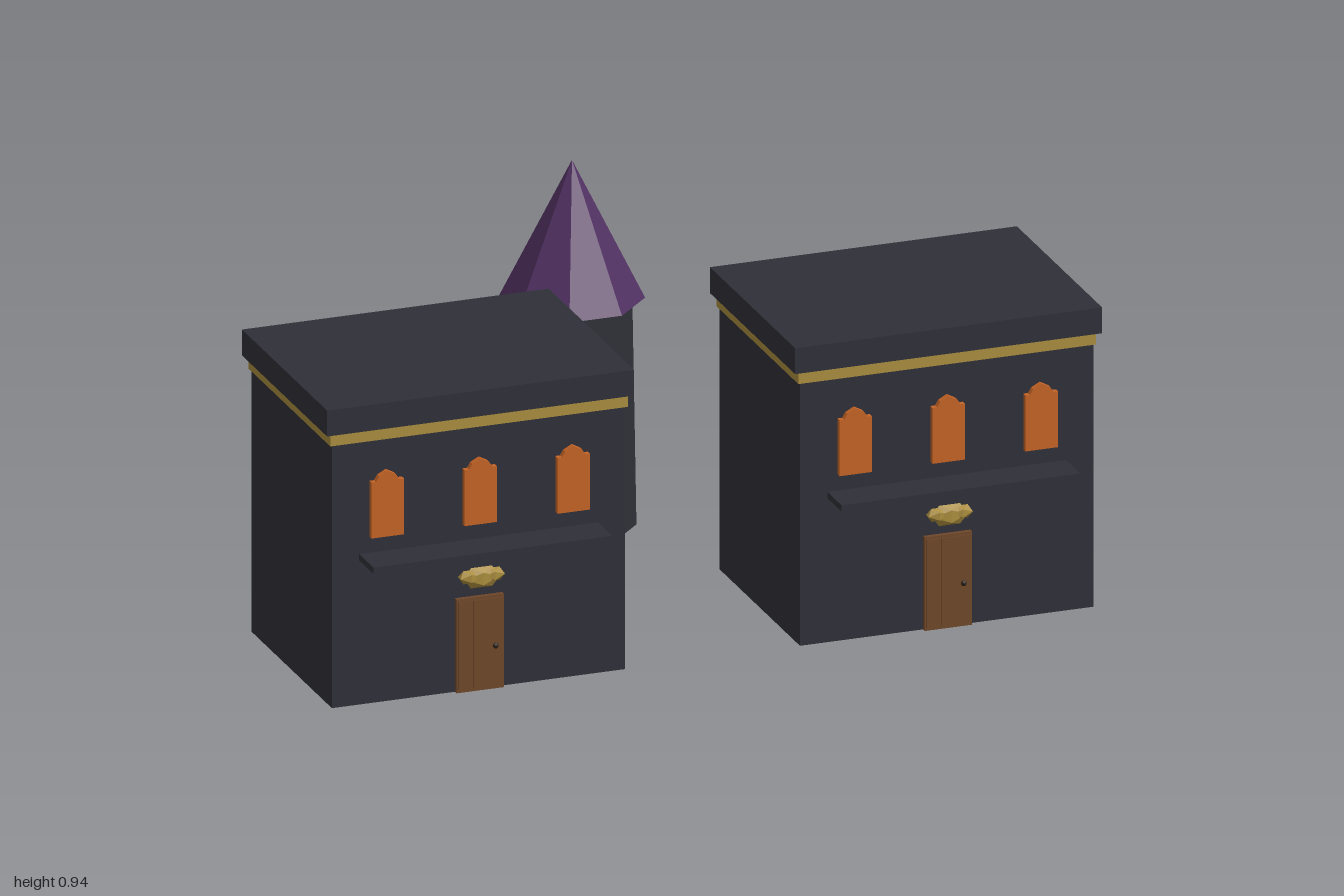
import * as THREE from 'three';

const mat = (name, color) => {
  const m = new THREE.MeshStandardMaterial({ color });
  m.name = name;
  m.flatShading = true;
  return m;
};

export function createModel() {
  const slate = mat('dark slate', 0x2f2f38);
  const gold = mat('old gold', 0xaa8d3e);
  const orange = mat('glowing orange', 0xc46324);
  const wood = mat('door wood', 0x6f4729);
  const iron = mat('dark iron', 0x2a2018);
  const purple = mat('purple roof', 0x523163);

  const add = (parent, name, geometry, material, x = 0, y = 0, z = 0) => {
    const mesh = new THREE.Mesh(geometry, material);
    mesh.name = name;
    mesh.position.set(x, y, z);
    parent.add(mesh);
    return mesh;
  };
  // Box given by its width, bottom/top and back/front
  const box = (parent, name, material, x, w, y0, y1, z0, z1) =>
    add(parent, name, new THREE.BoxGeometry(w, y1 - y0, z1 - z0), material, x, (y0 + y1) / 2, (z0 + z1) / 2);

  // Window with small shoulders and a pointed arch, base at y = 0, back at z = 0
  const windowGeometry = (w, h, depth) => {
    const s = new THREE.Shape();
    const half = [[0.5, 0], [0.5, 0.85], [0.36, 0.85], [0.26, 0.93]];
    s.moveTo(-0.5 * w, 0);
    half.forEach(([x, y]) => s.lineTo(x * w, y * h));
    s.lineTo(0, h);
    half.slice(1).reverse().forEach(([x, y]) => s.lineTo(-x * w, y * h));
    s.closePath();
    return new THREE.ExtrudeGeometry(s, { depth, bevelEnabled: false });
  };

  // Plank door with a knob, back at z = 0
  const makeDoor = (w, h, depth) => {
    const door = new THREE.Group();
    door.name = 'door';
    box(door, 'doorSlab', wood, 0, w, 0, h, 0, depth * 0.85);
    for (const i of [-1, 0, 1]) {
      box(door, 'doorPlank', wood, i * w * 0.31, w * 0.3, h * 0.03, h * 0.97, depth * 0.8, depth);
    }
    add(door, 'doorKnob', new THREE.SphereGeometry(w * 0.06, 8, 6), iron, w * 0.32, h * 0.46, depth);
    return door;
  };

  const makeHouse = (x) => {
    const house = new THREE.Group();
    house.name = 'house';
    house.position.x = x;
    box(house, 'walls', slate, 0, 0.757, 0, 0.7, -0.035, 0.52);
    box(house, 'goldBand', gold, 0, 0.768, 0.679, 0.71, -0.04, 0.524);
    box(house, 'roofSlab', slate, 0, 0.792, 0.71, 0.777, -0.054, 0.534);
    box(house, 'ledge', slate, 0, 0.616, 0.373, 0.389, 0.51, 0.618);
    for (const i of [-1, 0, 1]) {
      add(house, 'window', windowGeometry(0.084, 0.17, 0.02), orange, i * 0.24, 0.431, 0.515);
    }
    const door = makeDoor(0.122, 0.242, 0.015);
    door.position.z = 0.519;
    house.add(door);

    // Faceted ornament over the door
    const ornament = new THREE.Group();
    ornament.name = 'doorOrnament';
    ornament.position.set(0, 0.296, 0.54);
    [[0, 0, 0.052, 0.031], [-0.03, 0.004, 0.032, 0.02], [0.03, 0.004, 0.032, 0.02]].forEach(([px, py, sx, sy]) => {
      add(ornament, 'goldNugget', new THREE.IcosahedronGeometry(1, 0), gold, px, py, 0).scale.set(sx, sy, 0.018);
    });
    house.add(ornament);
    return house;
  };

  const makeTower = () => {
    const tower = new THREE.Group();
    tower.name = 'tower';
    tower.position.z = -0.45;
    tower.rotation.y = Math.PI; // door side turned to the back
    const shaft = new THREE.CylinderGeometry(0.146, 0.156, 0.587, 8);
    const spire = new THREE.ConeGeometry(0.177, 0.354, 8);
    shaft.rotateY(Math.PI / 8);
    spire.rotateY(Math.PI / 8);
    add(tower, 'towerShaft', shaft, slate, 0, 0.2935, 0);
    add(tower, 'towerRoof', spire, purple, 0, 0.764, 0);
    for (const y of [0.187, 0.389]) {
      add(tower, 'towerWindow', windowGeometry(0.047, 0.093, 0.01), orange, 0, y, 0.147);
    }
    const door = makeDoor(0.068, 0.135, 0.011);
    door.position.z = 0.152;
    tower.add(door);
    return tower;
  };

  const model = new THREE.Group();
  model.name = 'houses and tower';
  for (const side of [-1, 1]) model.add(makeHouse(side * 0.604));
  model.add(makeTower());
  return model;
}
